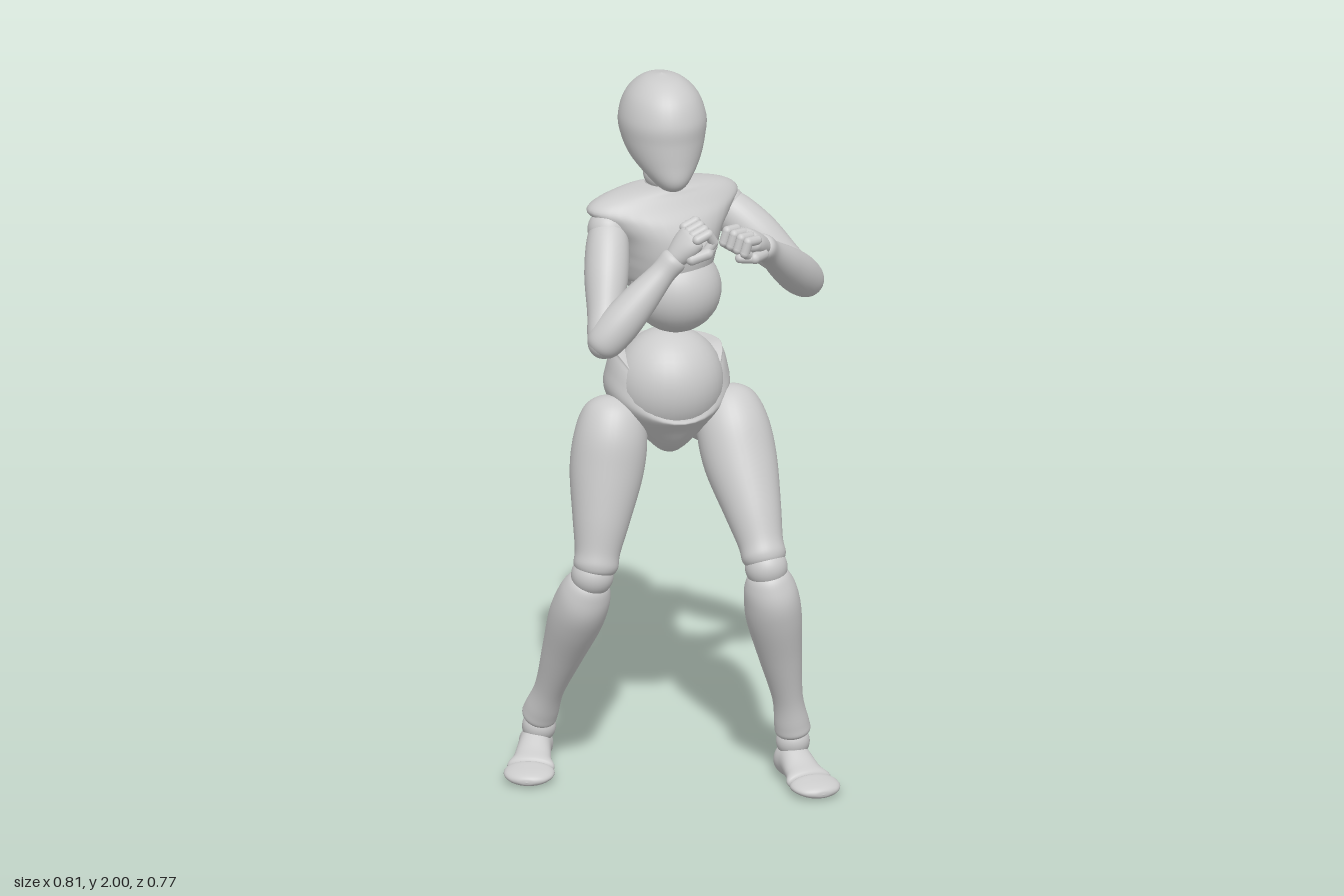
import * as THREE from 'three';

const V = (a) => new THREE.Vector3(...a);
const material = new THREE.MeshStandardMaterial({ color: 0xcccccc });

// Smooth closed body through elliptical sections [y, centreX, centreZ, radiusX, radiusZ], listed upwards
function loft(sections, warp, sides = 36, steps = 6) {
  const mid = new THREE.CatmullRomCurve3(sections.map((s) => V([s[1], s[0], s[2]])), false, 'catmullrom', 0.5);
  const rad = new THREE.CatmullRomCurve3(sections.map((s) => V([s[3], 0, s[4]])), false, 'catmullrom', 0.5);
  const rows = (sections.length - 1) * steps;
  const pos = [], index = [];
  for (let i = 0; i <= rows; i++) {
    const c = mid.getPoint(i / rows), r = rad.getPoint(i / rows);
    for (let j = 0; j < sides; j++) {
      const a = (j / sides) * Math.PI * 2;
      const p = V([c.x + Math.max(0, r.x) * Math.cos(a), c.y, c.z + Math.max(0, r.z) * Math.sin(a)]);
      if (warp) warp(p, a);
      pos.push(p.x, p.y, p.z);
      if (i < rows) {
        const k = (j + 1) % sides, o = i * sides, u = o + sides;
        index.push(o + j, u + j, o + k, u + j, u + k, o + k);
      }
    }
  }
  const g = new THREE.BufferGeometry();
  g.setAttribute('position', new THREE.Float32BufferAttribute(pos, 3));
  g.setIndex(index);
  g.computeVertexNormals();
  return g;
}

function add(parent, name, geometry, at = [0, 0, 0], yaw = 0) {
  const m = new THREE.Mesh(geometry, material);
  m.name = name;
  m.position.set(...at);
  m.rotation.y = yaw;
  parent.add(m);
  return m;
}

const ball = (parent, name, at, r, scale = [1, 1, 1], yaw = 0) => {
  const m = add(parent, name, new THREE.SphereGeometry(r, 32, 20), at, yaw);
  m.scale.set(...scale);
  return m;
};

// Turns an object so its y runs along a direction and its z leans to a hint
function aim(obj, from, dir, hint) {
  const y = dir.clone().normalize();
  const z = V(hint).addScaledVector(y, -V(hint).dot(y)).normalize();
  const x = new THREE.Vector3().crossVectors(y, z);
  obj.quaternion.setFromRotationMatrix(new THREE.Matrix4().makeBasis(x, y, z));
  obj.position.copy(from);
}

// Lofted part from a to b; section positions are fractions of its length
function limb(parent, name, a, b, hint, profile) {
  const d = V(b).sub(V(a)), len = d.length();
  const m = add(parent, name, loft(profile.map(([t, ...s]) => [t * len, ...s])));
  aim(m, V(a), d, hint);
}

const THIGH = [[-0.1, 0, 0, 0, 0], [-0.08, 0, 0, 0.045, 0.045], [0, 0, 0, 0.082, 0.08], [0.17, 0, 0, 0.1, 0.097],
  [0.4, 0, -0.005, 0.1, 0.095], [0.7, 0, 0, 0.078, 0.075], [0.9, 0, 0, 0.062, 0.06], [1, 0, 0, 0.06, 0.056],
  [1.05, 0, 0, 0.04, 0.04], [1.06, 0, 0, 0, 0]];
const SHIN = [[-0.05, 0, 0, 0, 0], [-0.03, 0, 0, 0.045, 0.045], [0.04, 0, 0, 0.066, 0.068], [0.14, 0, 0, 0.074, 0.082],
  [0.28, 0, -0.005, 0.074, 0.084], [0.52, 0, -0.005, 0.058, 0.066], [0.78, 0, 0, 0.041, 0.047],
  [0.94, 0, 0, 0.047, 0.05], [1, 0, 0, 0.047, 0.05], [1.02, 0, 0, 0.03, 0.03], [1.02, 0, 0, 0, 0]];
const UPPER_ARM = [[-0.12, 0, 0, 0, 0], [-0.08, 0, 0, 0.035, 0.035], [0.08, 0, 0, 0.056, 0.058], [0.4, 0, 0, 0.06, 0.064],
  [0.75, 0, 0, 0.048, 0.05], [0.95, 0, 0, 0.045, 0.045], [1.06, 0, 0, 0.03, 0.03], [1.08, 0, 0, 0, 0]];
const FOREARM = [[-0.13, 0, 0, 0, 0], [-0.1, 0, 0, 0.032, 0.032], [0, 0, 0, 0.05, 0.05], [0.22, 0, 0, 0.055, 0.056],
  [0.5, 0, 0, 0.049, 0.049], [0.82, 0, 0, 0.036, 0.035], [1, 0, 0, 0.036, 0.034], [1.05, 0, 0, 0, 0]];
const MIDFOOT = [[0, 0, 0.035, 0, 0], [0.03, 0, 0.036, 0.028, 0.028], [0.2, 0, 0.052, 0.046, 0.05],
  [0.42, 0, 0.053, 0.045, 0.051], [0.75, 0, 0.036, 0.052, 0.034], [0.97, 0, 0.027, 0.062, 0.025], [1, 0, 0.025, 0, 0]];
const TOES = [[0, 0, 0.024, 0, 0], [0.03, 0, 0.025, 0.06, 0.023], [0.45, 0, 0.023, 0.068, 0.021],
  [0.8, 0, 0.019, 0.052, 0.017], [0.96, 0, 0.017, 0.026, 0.01], [1, 0, 0.016, 0, 0]];

function leg(root, p) {
  const g = new THREE.Group();
  g.name = p.name;
  root.add(g);
  ball(g, 'hipBall', p.hipBall, 0.082);
  limb(g, 'thigh', p.hip, p.knee, p.front, THIGH);
  ball(g, 'kneeBall', V(p.knee).lerp(V(p.shin), 0.5).toArray(), 0.058);
  limb(g, 'shin', p.shin, p.ankle, p.front, SHIN);
  ball(g, 'ankleBall', [p.ankle[0], 0.105, p.ankle[2]], 0.046);
  const at = (t) => V(p.heel).lerp(V(p.toe), t).toArray();
  limb(g, 'foot', at(0), at(0.66), [0, 1, 0], MIDFOOT);
  limb(g, 'toes', at(0.67), at(1), [0, 1, 0], TOES);
}

// Rounded finger bone between two points
function bone(parent, name, a, b, r) {
  const d = V(b).sub(V(a));
  const m = add(parent, name, new THREE.CapsuleGeometry(r, d.length(), 5, 12));
  aim(m, V(a).addScaledVector(d, 0.5), d, [0.9, 0.1, 0.3]);
}

// Closed fist: x across the knuckles, y away from the wrist, z out of the back of the hand
function fist(parent, wrist, tip, back, thumbSide) {
  const h = new THREE.Group();
  h.name = 'hand';
  parent.add(h);
  aim(h, V(wrist), V(tip).sub(V(wrist)), back);
  add(h, 'palm', loft([[-0.02, 0, 0, 0, 0], [-0.01, 0, 0, 0.025, 0.022], [0.025, 0, 0, 0.042, 0.032],
    [0.06, 0, 0.002, 0.052, 0.032], [0.08, 0, 0.004, 0.046, 0.024], [0.088, 0, 0.004, 0, 0]]));
  for (let i = 0; i < 4; i++) {
    const x = (i - 1.5) * 0.027;
    const joints = [[x, 0.08, 0.016], [x, 0.112, 0.002], [x, 0.104, -0.03], [x, 0.07, -0.034]];
    for (let k = 0; k < 3; k++) bone(h, 'finger', joints[k], joints[k + 1], 0.0135);
  }
  const s = thumbSide;
  bone(h, 'thumb', [s * 0.04, 0.03, -0.015], [s * 0.052, 0.07, -0.032], 0.016);
  bone(h, 'thumb', [s * 0.052, 0.07, -0.032], [s * 0.025, 0.094, -0.048], 0.014);
}

function arm(root, p) {
  const g = new THREE.Group();
  g.name = p.name;
  root.add(g);
  ball(g, 'shoulderBall', p.shoulder, 0.056);
  limb(g, 'upperArm', p.shoulder, p.elbow, [0, 1, 0.3], UPPER_ARM);
  ball(g, 'elbowBall', p.elbow, 0.044);
  limb(g, 'forearm', p.elbow, p.wrist, [0, 1, 0.3], FOREARM);
  fist(g, p.wrist, p.tip, p.back, p.thumb);
}

export function createModel() {
  const root = new THREE.Group();
  root.name = 'mannequin';

  // Egg-shaped head with a flat face line and a narrow chin
  add(root, 'head', loft([[1.69, 0, 0.085, 0, 0], [1.698, 0, 0.083, 0.028, 0.034], [1.725, 0, 0.066, 0.056, 0.07],
    [1.775, 0, 0.026, 0.093, 0.112], [1.83, 0, 0.004, 0.113, 0.135], [1.885, 0, 0, 0.117, 0.14],
    [1.945, 0, -0.002, 0.096, 0.117], [1.985, 0, -0.003, 0.054, 0.068], [2, 0, -0.004, 0, 0]]), [-0.01, 0, -0.06], -0.3);
  ball(root, 'neck', [0.015, 1.705, -0.09], 0.055, [1, 0.95, 1]);
  ball(root, 'neckBase', [0.015, 1.66, -0.095], 0.05);

  // Chest shell: broad shoulders, spine groove, hem raised at the sides
  add(root, 'chest', loft([[1.41, 0, 0, 0, 0], [1.365, 0, 0, 0.095, 0.085], [1.345, 0, 0, 0.117, 0.108],
    [1.40, 0, 0, 0.133, 0.128], [1.47, 0, 0, 0.143, 0.142], [1.54, 0, -0.005, 0.162, 0.146],
    [1.59, 0, -0.01, 0.2, 0.132], [1.625, 0, -0.015, 0.23, 0.108], [1.655, 0, -0.01, 0.19, 0.08],
    [1.673, 0, -0.005, 0.1, 0.058], [1.677, 0, 0, 0, 0]], (p, a) => {
    const low = 1 - THREE.MathUtils.smoothstep(p.y, 1.34, 1.58);
    const front = Math.max(0, Math.sin(a));
    if (Math.sin(a) < 0) p.z += 0.014 * Math.exp(-((p.x / 0.035) ** 2)) * Math.min(1, -p.z / 0.08);
    p.y += low * (0.07 * Math.cos(a) ** 2 + 0.03 * front);
  }), [0.017, 0, -0.085], -0.08);
  ball(root, 'belly', [0.022, 1.385, -0.04], 0.121, [1.03, 1, 1]);

  // Waist ball sitting in a pelvis whose rim dips at the front
  ball(root, 'waist', [0.022, 1.11, -0.073], 0.15, [1, 1.02, 0.95], -0.3);
  add(root, 'pelvis', loft([[0.908, 0, 0, 0, 0], [0.915, 0, 0, 0.028, 0.04], [0.955, 0, 0, 0.07, 0.09],
    [1.02, 0, -0.005, 0.135, 0.138], [1.09, 0, -0.01, 0.172, 0.158], [1.15, 0, -0.008, 0.166, 0.152],
    [1.195, 0, -0.005, 0.152, 0.14], [1.203, 0, -0.005, 0.135, 0.125], [1.18, 0, 0, 0, 0]], (p, a) => {
    const high = THREE.MathUtils.smoothstep(p.y, 0.98, 1.2);
    p.y -= high * 0.13 * Math.max(0, Math.sin(a)) ** 2;
  }), [0.03, 0, -0.09], -0.3);

  leg(root, { name: 'leftLeg', front: [-0.22, 0, 1], hipBall: [0.145, 1.0, -0.06], hip: [0.172, 1.04, -0.015],
    knee: [0.135, 0.66, 0.212], shin: [0.14, 0.61, 0.222], ankle: [0.255, 0.135, 0.177],
    heel: [0.265, 0, 0.122], toe: [0.208, 0, 0.386] });
  leg(root, { name: 'rightLeg', front: [-0.5, 0, 0.85], hipBall: [-0.09, 1.0, -0.13], hip: [-0.125, 1.04, -0.125],
    knee: [-0.228, 0.63, -0.065], shin: [-0.237, 0.58, -0.083], ankle: [-0.23, 0.135, -0.325],
    heel: [-0.2, 0, -0.372], toe: [-0.386, 0, -0.165] });

  arm(root, { name: 'leftArm', shoulder: [0.21, 1.575, -0.075], elbow: [0.352, 1.383, 0.105],
    wrist: [0.105, 1.565, 0.24], tip: [-0.01, 1.625, 0.268], back: [0.4, 1, 0.1], thumb: -1 });
  arm(root, { name: 'rightArm', shoulder: [-0.165, 1.575, -0.095], elbow: [-0.292, 1.318, 0.062],
    wrist: [-0.105, 1.54, 0.13], tip: [-0.01, 1.645, 0.165], back: [-0.7, 0.7, 0], thumb: 1 });
  return root;
}
